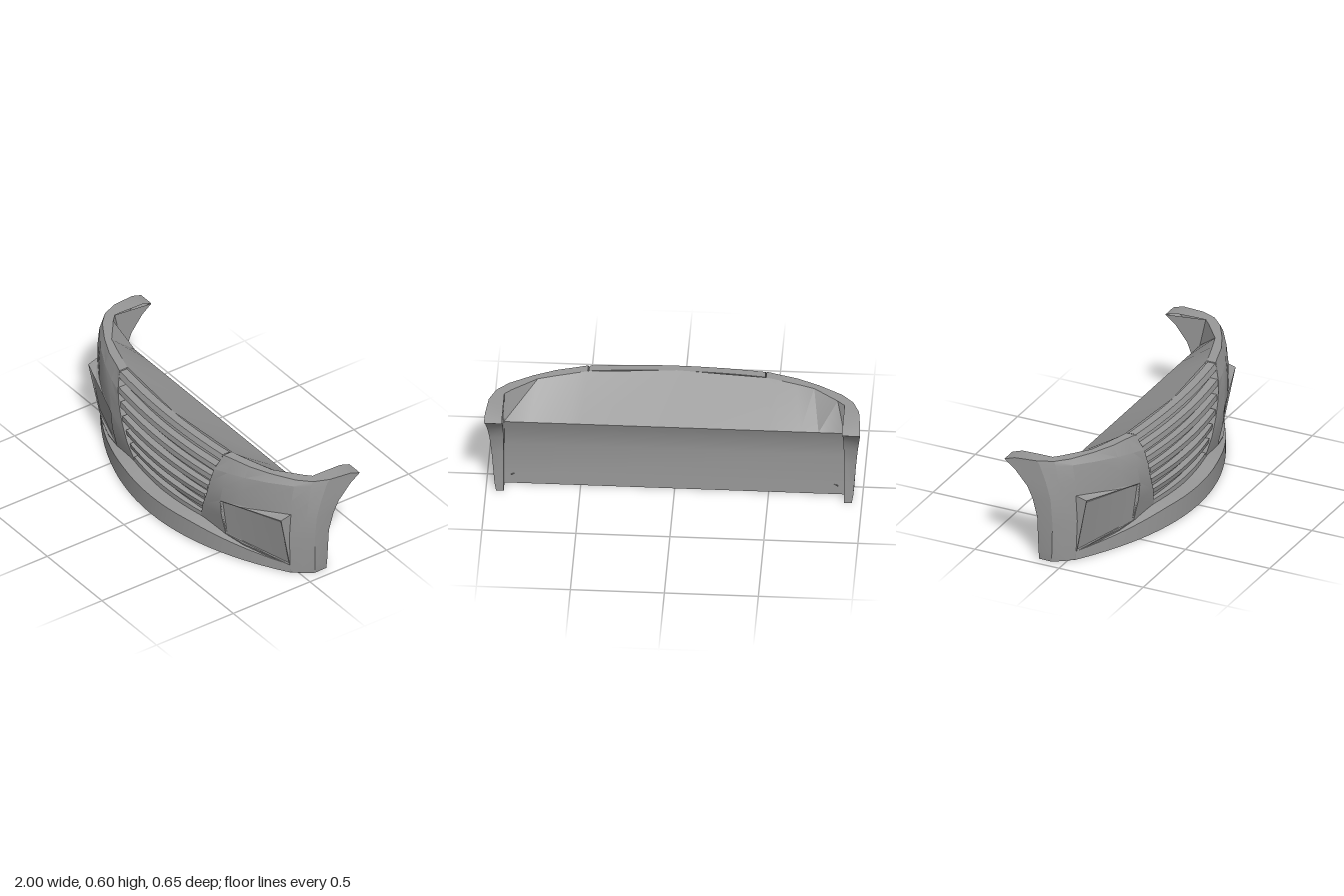
import * as THREE from 'three';
import { toCreasedNormals } from 'three/addons/utils/BufferGeometryUtils.js';

const material = new THREE.MeshStandardMaterial({ color: 0x999999, side: THREE.DoubleSide });
const lerp = (a, b, t) => a.map((v, i) => v + (b[i] - v) * t);
const range = (a, b, n) => Array.from({ length: n + 1 }, (_, i) => a + (b - a) * i / n);

// Surface through a list of equally long cross-sections of [x, y, z] points
function loft(name, sections, { skip = () => false, crease = 0.45 } = {}) {
  const n = sections[0].length, index = [];
  for (let i = 0; i < sections.length - 1; i++) {
    for (let j = 0; j < n - 1; j++) {
      if (skip(i, j)) continue;
      const a = i * n + j, b = a + n;
      index.push(a, b, b + 1, a, b + 1, a + 1);
    }
  }
  const geo = new THREE.BufferGeometry();
  geo.setAttribute('position', new THREE.Float32BufferAttribute(sections.flat(2), 3));
  geo.setIndex(index);
  const mesh = new THREE.Mesh(toCreasedNormals(geo, crease), material);
  mesh.name = name;
  return mesh;
}

// Lower lip outline
const lipZ = x => 0.325 - 0.29 * (Math.abs(x) / 0.87) ** 2;
const lipY = x => 0.115 - 0.065 * Math.max(0, (Math.abs(x) - 0.3) / 0.57) ** 1.2;

// Half width of the grille opening at a height
const grilleX = y => 0.3 + 0.175 * (y - 0.11) / 0.49;

// Body columns from grille edge to wheel arch:
// points at the foot, lip line, lamp top, crease and top edge
const keyColumns = [
  [[0.28, 0, 0.2], [0.3, 0.115, 0.212], [0.385, 0.32, 0.235], [0.44, 0.505, 0.225], [0.475, 0.6, 0.19]],
  [[0.5, 0, 0.165], [0.5, 0.105, 0.192], [0.5, 0.335, 0.23], [0.53, 0.52, 0.205], [0.53, 0.6, 0.172]],
  [[0.62, 0, 0.13], [0.62, 0.095, 0.163], [0.62, 0.355, 0.187], [0.64, 0.537, 0.168], [0.64, 0.6, 0.14]],
  [[0.75, 0, 0.085], [0.75, 0.08, 0.108], [0.75, 0.372, 0.128], [0.77, 0.555, 0.106], [0.76, 0.6, 0.085]],
  [[0.87, 0, 0.03], [0.87, 0.052, 0.036], [0.885, 0.388, 0.042], [0.89, 0.568, 0.026], [0.885, 0.6, 0.01]],
  [[0.915, 0, -0.02], [0.92, 0.05, -0.02], [0.945, 0.38, -0.02], [0.95, 0.575, -0.045], [0.95, 0.6, -0.055]],
  [[0.948, 0, -0.07], [0.955, 0.05, -0.066], [0.975, 0.38, -0.063], [0.983, 0.58, -0.125], [0.985, 0.6, -0.14]],
];
const columns = keyColumns.map(([foot, lip, lamp, crease, top]) => {
  const low = lerp(lip, lamp, 0.55), high = lerp(lamp, crease, 0.5);
  low[2] += 0.008;
  high[2] += 0.005;
  return [foot, lip, low, lamp, high, crease, top];
});
const arch = [[0.946, 0, -0.145], [0.954, 0.05, -0.145], [0.97, 0.26, -0.145], [0.98, 0.37, -0.168],
  [0.988, 0.44, -0.195], [0.997, 0.53, -0.265], [1, 0.577, -0.325]];
const beforeArch = columns[6].map((p, i) => lerp(p, arch[i], 0.62));
beforeArch[6] = [0.998, 0.597, -0.265];
columns.push(beforeArch, arch);

// Inner arch edge, and the same curve set forward where the rear wall runs
const innerX = 0.905;
const archInner = arch.map(([, y, z]) => [innerX, y, z]);
const wallProfile = archInner.slice(0, 5).map(([x, y, z]) => [x, y, z + 0.075]);

// Inner edge of the top rim, one point per column
const rimInner = [[0.475, 0.6, 0.138], [0.53, 0.6, 0.122], [0.64, 0.6, 0.088], [0.735, 0.6, 0.056], [0.866, 0.6, -0.048],
  [innerX, 0.6, -0.085], [innerX, 0.6, -0.14], [innerX, 0.597, -0.265], archInner[6]];

function makeSide() {
  const side = new THREE.Group();
  // Outer skin, left open where the lamp sits
  side.add(loft('outerSkin', columns, { crease: 0.29, skip: (i, j) => i >= 1 && i < 4 && j >= 1 && j < 3 }));
  // Wheel arch edge and the inside of its flange
  side.add(loft('wheelArchEdge', [arch, archInner]));
  side.add(loft('flangeInside', [archInner, [...wallProfile, [innerX, 0.53, -0.1], [innerX, 0.6, -0.085]]]));
  side.add(loft('topRim', [columns.map(c => c[6]), rimInner]));

  // Lamp: a flat face set in a raised frame whose wall runs back to the skin
  const panel = (innerLow, innerTop, outerLow, outerTop) => (u, v) =>
    lerp(lerp(innerLow, outerLow, u), lerp(innerTop, outerTop, u), v);
  const facePoint = panel([0.505, 0.107, 0.187], [0.505, 0.322, 0.215], [0.865, 0.062, 0.04], [0.867, 0.35, 0.097]);
  const framePoint = panel([0.501, 0.105, 0.19], [0.501, 0.333, 0.229], [0.873, 0.053, 0.041], [0.882, 0.371, 0.104]);
  const loop = [[1, 1], [2, 1], [3, 1], [4, 1], [4, 2], [4, 3], [3, 3], [2, 3], [1, 3], [1, 2], [1, 1]];
  const us = columns.map(c => (c[1][0] - 0.5) / 0.37);
  const at = point => ([c, r]) => point(us[c], [0, 0.55, 1][r - 1]);
  const frame = loop.map(at(framePoint));
  side.add(loft('lampSurround', [loop.map(([c, r]) => columns[c][r]), frame], { crease: 0.3 }));
  side.add(loft('lampFrame', [frame, loop.map(at(facePoint))], { crease: 0.3 }));
  side.add(loft('lampFace', [1, 2, 3, 4].map(c => [1, 2, 3].map(r => at(facePoint)([c, r])))));

  // Wall beside the grille
  side.add(loft('grilleJamb', [columns[0], columns[0].map(([x, y, z]) => [x, y, z - 0.05])]));
  return side;
}

// Mirrored copy: flip x and swap two corners of every triangle
function mirrored(group) {
  const copy = group.clone();
  copy.children.forEach(m => {
    m.geometry = m.geometry.clone().scale(-1, 1, 1);
    for (const a of [m.geometry.attributes.position, m.geometry.attributes.normal]) {
      for (let i = 0; i < a.count; i += 3) {
        const b = [a.getX(i + 1), a.getY(i + 1), a.getZ(i + 1)];
        a.setXYZ(i + 1, a.getX(i + 2), a.getY(i + 2), a.getZ(i + 2));
        a.setXYZ(i + 2, ...b);
      }
    }
  });
  return copy;
}

export function createModel() {
  const model = new THREE.Group();
  model.name = 'frontBumper';
  const left = makeSide();
  const right = mirrored(left);
  left.name = 'leftSide';
  right.name = 'rightSide';
  model.add(left, right);

  // Grille slats: reach of the lower and upper front edge, and bow in plan
  const grille = new THREE.Group();
  grille.name = 'grille';
  const slats = [[0.242, 0.242, 0.3], [0.247, 0.253, 0.27], [0.258, 0.262, 0.25], [0.262, 0.262, 0.2],
    [0.26, 0.256, 0.18], [0.253, 0.247, 0.15], [0.23, 0.218, 0.13]];
  slats.forEach(([low, high, bow], i) => {
    const top = 0.145 + i * 0.0755, bottom = top - 0.03, w = grilleX(top - 0.015);
    grille.add(loft('slat', range(-w, w, 12).map(x => {
      const b = bow * x * x;
      return [[x, top, high - b], [x, bottom, low - b], [x, bottom, low - 0.05 - b], [x, top, high - 0.045 - b], [x, top, high - b]];
    })));
  });
  // Plate behind the slats
  grille.add(loft('grillePlate', range(-1, 1, 12).map(t => [0.09, 0.2, 0.35, 0.5, 0.595].map((y, j) => {
    const x = t * grilleX(y);
    return [x, y, [0.2, 0.215, 0.225, 0.213, 0.182][j] - 0.18 * x * x];
  }))));
  model.add(grille);

  // Lower lip: front wall and sloping top
  const lipX = range(-0.87, 0.87, 24);
  model.add(loft('lowerLip', lipX.map(x => [
    [x, 0, lipZ(x)], [x, lipY(x), lipZ(x)], [x, lipY(x) + 0.012 * Math.min(1, Math.abs(x) / 0.5), lipZ(x) - 0.12],
  ])));

  // Underside
  const end = [[0.915, -0.02], [0.948, -0.07], [0.946, -0.145], [innerX, -0.145], [innerX, -0.07]];
  const outline = [...lipX.map(x => [x, lipZ(x)]), ...end, ...end.map(([x, z]) => [-x, z]).reverse()];
  const floor = new THREE.Mesh(
    new THREE.ShapeGeometry(new THREE.Shape(outline.map(([x, z]) => new THREE.Vector2(x, z)))).rotateX(Math.PI / 2), material);
  floor.name = 'underside';
  model.add(floor);

  // Sloping shelf behind the rim, and the hollow rear wall below it
  const half = rimInner.slice(0, 6);
  const rim = [...half.map(([x, y, z]) => [-x, y, z]).reverse(), [0, 0.6, 0.175], ...half];
  const [, shelfY, shelfZ] = wallProfile[4];
  model.add(loft('rearShelf', rim.map(p => [
    p, [THREE.MathUtils.clamp(p[0] * 1.045, -innerX, innerX), shelfY, shelfZ],
  ])));
  model.add(loft('rearWall', [1, -1].map(s => wallProfile.map(([x, y, z]) => [s * x, y, z]))));
  return model;
}
